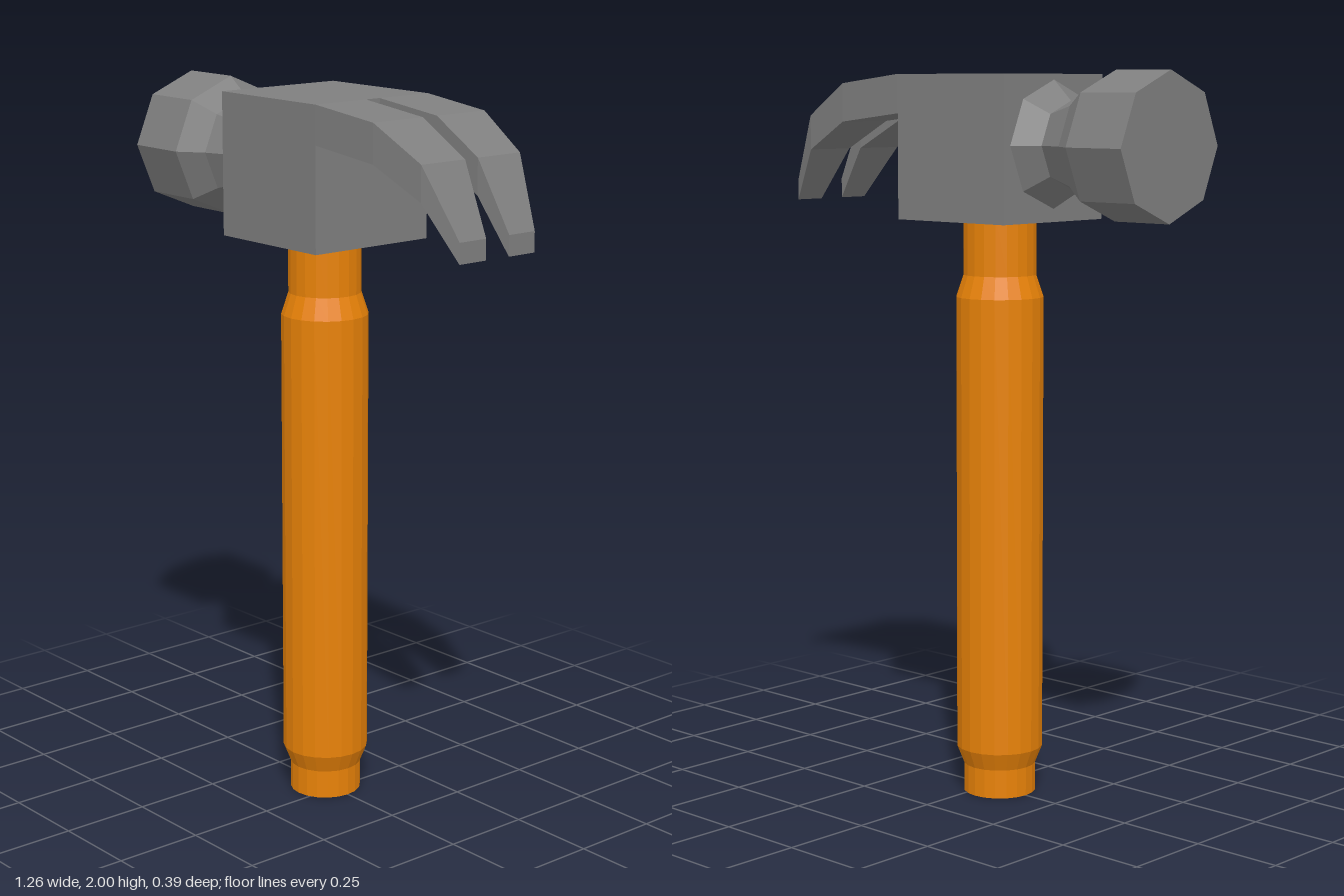
import * as THREE from 'three';

const steel = new THREE.MeshStandardMaterial({ color: 0x7f7f7f, flatShading: true });
const wood = new THREE.MeshStandardMaterial({ color: 0xe88208, flatShading: true });

function addMesh(parent, name, geometry, material) {
  const mesh = new THREE.Mesh(geometry, material);
  mesh.name = name;
  parent.add(mesh);
  return mesh;
}

// Lathe from [radius, height] pairs, listed bottom to top
function turned(profile, sides) {
  return new THREE.LatheGeometry(profile.map(([r, y]) => new THREE.Vector2(r, y)), sides);
}

// Claw stations: x, bottom y, top y, inner z, outer z
const clawStations = [
  [0.155, 1.885, 1.99, 0.024, 0.195],
  [0.375, 1.86, 1.965, 0.024, 0.192],
  [0.53, 1.78, 1.875, 0.022, 0.17],
  [0.629, 1.635, 1.69, 0.04, 0.13],
];

// Loft one prong of the claw; side is +1 or -1 along z
function prongGeometry(side) {
  const points = [];
  const faces = [];
  clawStations.forEach(([x, low, high, inner, outer], i) => {
    const [z0, z1] = side > 0 ? [inner, outer] : [-outer, -inner];
    points.push(x, low, z0, x, high, z0, x, high, z1, x, low, z1);
    if (i === 0) return;
    for (let j = 0; j < 4; j++) {
      const k = (j + 1) % 4;
      const a = (i - 1) * 4 + j, b = (i - 1) * 4 + k, c = i * 4 + k, d = i * 4 + j;
      faces.push(a, b, c, a, c, d);
    }
  });
  // Tip cap
  const e = (clawStations.length - 1) * 4;
  faces.push(e, e + 1, e + 2, e, e + 2, e + 3);

  const indexed = new THREE.BufferGeometry();
  indexed.setAttribute('position', new THREE.Float32BufferAttribute(points, 3));
  indexed.setIndex(faces);
  const geometry = indexed.toNonIndexed();
  geometry.computeVertexNormals();
  return geometry;
}

export function createModel() {
  const hammer = new THREE.Group();
  hammer.name = 'hammer';

  // Wooden handle with narrowed ends
  const handle = addMesh(hammer, 'handle', turned([
    [0, 0], [0.1, 0], [0.1, 0.08], [0.12, 0.13], [0.12, 1.39], [0.1, 1.45], [0.1, 1.61],
  ], 20), wood);
  handle.position.x = -0.04;

  // Steel head
  const head = new THREE.Group();
  head.name = 'head';
  hammer.add(head);
  const block = addMesh(head, 'headBlock', new THREE.BoxGeometry(0.39, 0.39, 0.39), steel);
  block.position.set(-0.04, 1.795, 0);

  // Octagonal neck and striking face, turned to point along -x
  const poll = addMesh(head, 'strikingFace', turned([
    [0.17, 0.235], [0.115, 0.295], [0.145, 0.38], [0.195, 0.448], [0.195, 0.63], [0, 0.63],
  ], 8), steel);
  poll.rotation.z = Math.PI / 2;
  poll.position.y = 1.805;

  // Split claw
  addMesh(head, 'rightProng', prongGeometry(-1), steel);
  addMesh(head, 'leftProng', prongGeometry(1), steel);

  return hammer;
}
